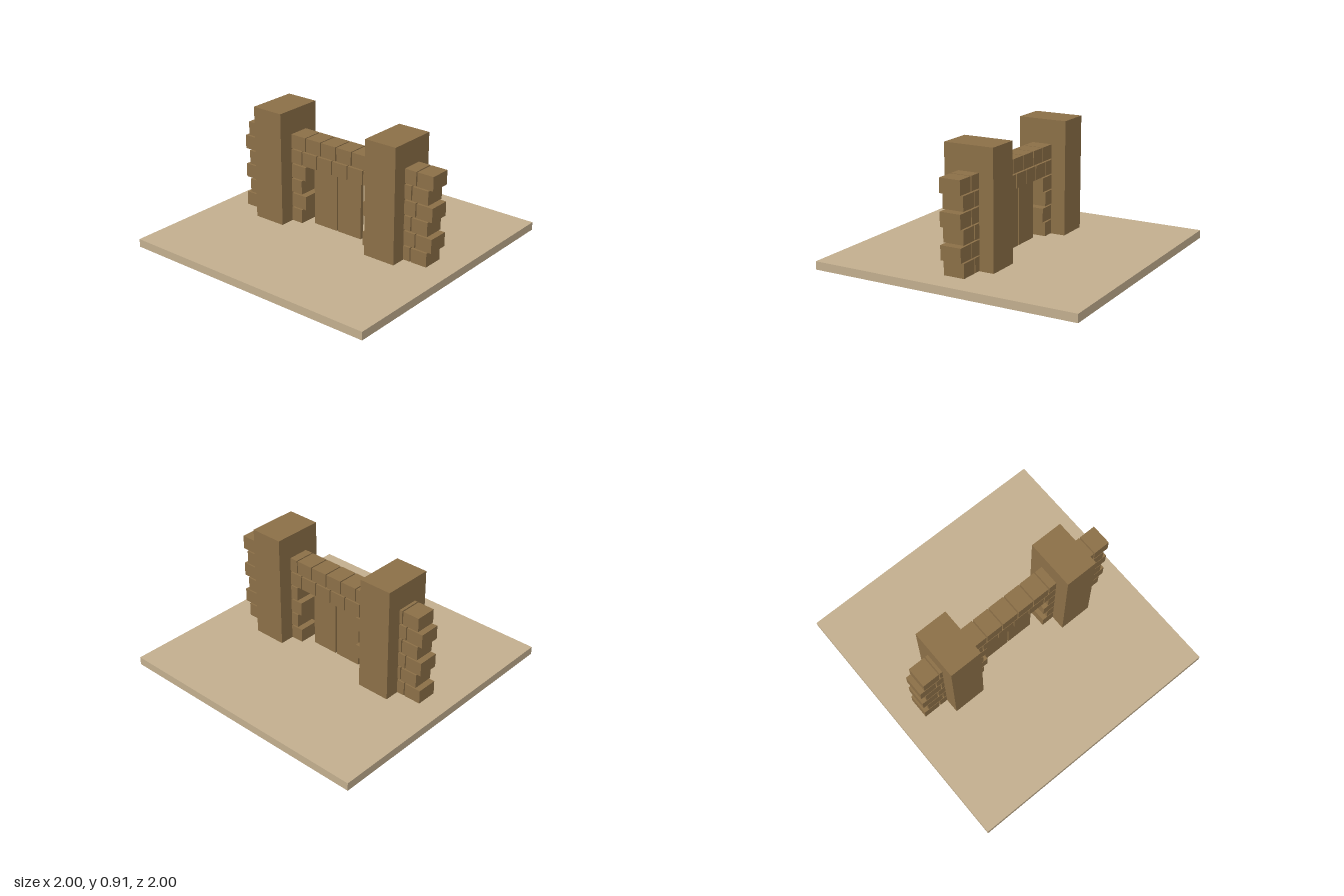
import * as THREE from 'three';

const wood = new THREE.MeshStandardMaterial({ color: 0x8b6f47 });
wood.name = 'brown stone';
const sand = new THREE.MeshStandardMaterial({ color: 0xc2ae8e });
sand.name = 'sandy ground';

// Box given by its size, its centre in x and its underside in y
function box(name, material, [w, h, d], x, bottom) {
  const mesh = new THREE.Mesh(new THREE.BoxGeometry(w, h, d), material);
  mesh.name = name;
  mesh.position.set(x, bottom + h / 2, 0);
  return mesh;
}

export function createModel() {
  const model = new THREE.Group();
  model.name = 'gatehouse';
  const ground = 0.06;

  model.add(box('groundSlab', sand, [2, ground, 2], 0, 0));

  // Towers and door leaves, one per side
  for (const side of [-1, 1]) {
    const label = side > 0 ? 'left' : 'right';
    model.add(box(label + 'Tower', wood, [0.25, 0.85, 0.375], side * 0.5, ground));
    model.add(box(label + 'Door', wood, [0.205, 0.425, 0.03], side * 0.108 - 0.003, ground));
  }

  // Brick wall in running bond; the lower four courses leave the doorway open
  const wall = new THREE.Group();
  wall.name = 'brickWall';
  for (let row = 0; row < 6; row++) {
    const start = row % 2 ? -0.72 : -0.757;
    for (let i = 0; i < 12; i++) {
      if (row < 4 && i >= 4 && i < 8) continue;
      wall.add(box('brick', wood, [0.128, 0.103, 0.157], start + i * 0.1372, 0.063 + row * 0.113));
    }
  }
  model.add(wall);

  return model;
}
